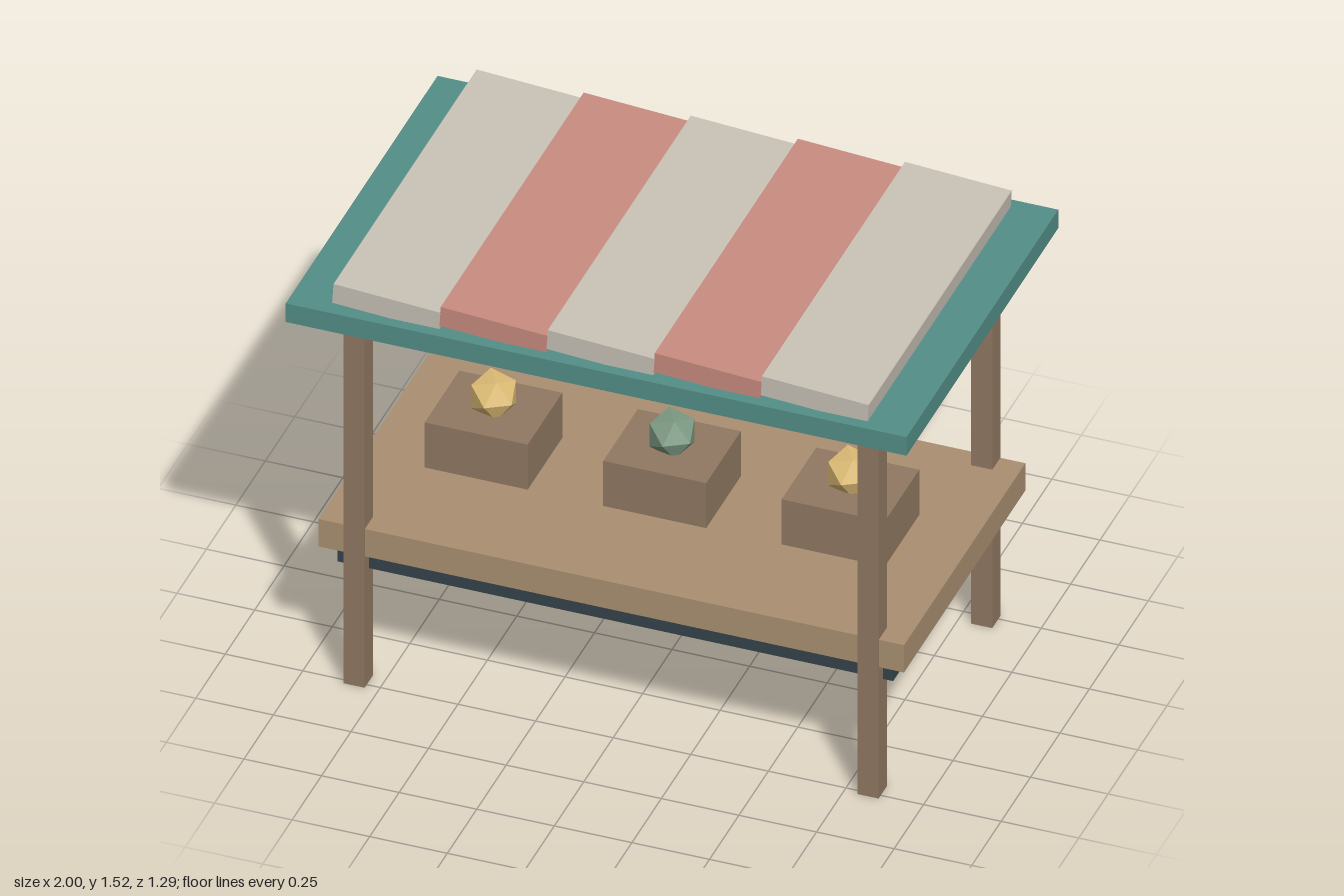
import * as THREE from 'three';

const paint = (color) => new THREE.MeshStandardMaterial({ color, flatShading: true });

export function createModel() {
  const stall = new THREE.Group();
  stall.name = 'marketStall';

  const postWood = paint(0x917962);
  const tableWood = paint(0xab9072);
  const teal = paint(0x548f88);
  const slate = paint(0x34444a);
  const cream = paint(0xc8c2b6);
  const rose = paint(0xc88c80);
  const gold = paint(0xdfbd76);
  const green = paint(0x7d9a84);

  function box(name, [w, h, d], [x, y, z], material) {
    const mesh = new THREE.Mesh(new THREE.BoxGeometry(w, h, d), material);
    mesh.name = name;
    mesh.position.set(x, y, z);
    stall.add(mesh);
    return mesh;
  }

  // Counter and the darker board beneath it
  box('tableTop', [1.886, 0.1, 1.032], [0, 0.53, 0], tableWood);
  box('underShelf', [1.79, 0.066, 0.964], [0, 0.448, 0], slate);

  // Four corner posts, just proud of the counter's long edges
  for (const [side, sx] of [['Right', -1], ['Left', 1]]) {
    for (const [end, sz] of [['front', 1], ['back', -1]]) {
      box(`${end}${side}Post`, [0.068, 1.372, 0.07], [sx * 0.828, 0.686, sz * 0.483], postWood);
    }
  }

  // Roof board with five overlapping, tilted awning strips
  box('roofBoard', [2, 0.068, 1.29], [0, 1.405, 0], teal);
  for (let i = 0; i < 5; i++) {
    const strip = box(`awningStrip${i + 1}`, [0.345, 0.07, 1.216],
      [(i - 2) * 0.345, 1.475, 0], i % 2 ? rose : cream);
    strip.rotation.z = -0.062;
  }

  // Display crates, each with a faceted gem on top
  [gold, green, gold].forEach((material, i) => {
    const x = (i - 1) * 0.575;
    box(`crate${i + 1}`, [0.332, 0.166, 0.294], [x, 0.662, 0], postWood);
    const gem = new THREE.Mesh(new THREE.IcosahedronGeometry(0.0805, 0), material);
    gem.name = `gem${i + 1}`;
    gem.position.set(x, 0.794, 0);
    gem.rotation.y = -1.02;
    stall.add(gem);
  });

  return stall;
}
